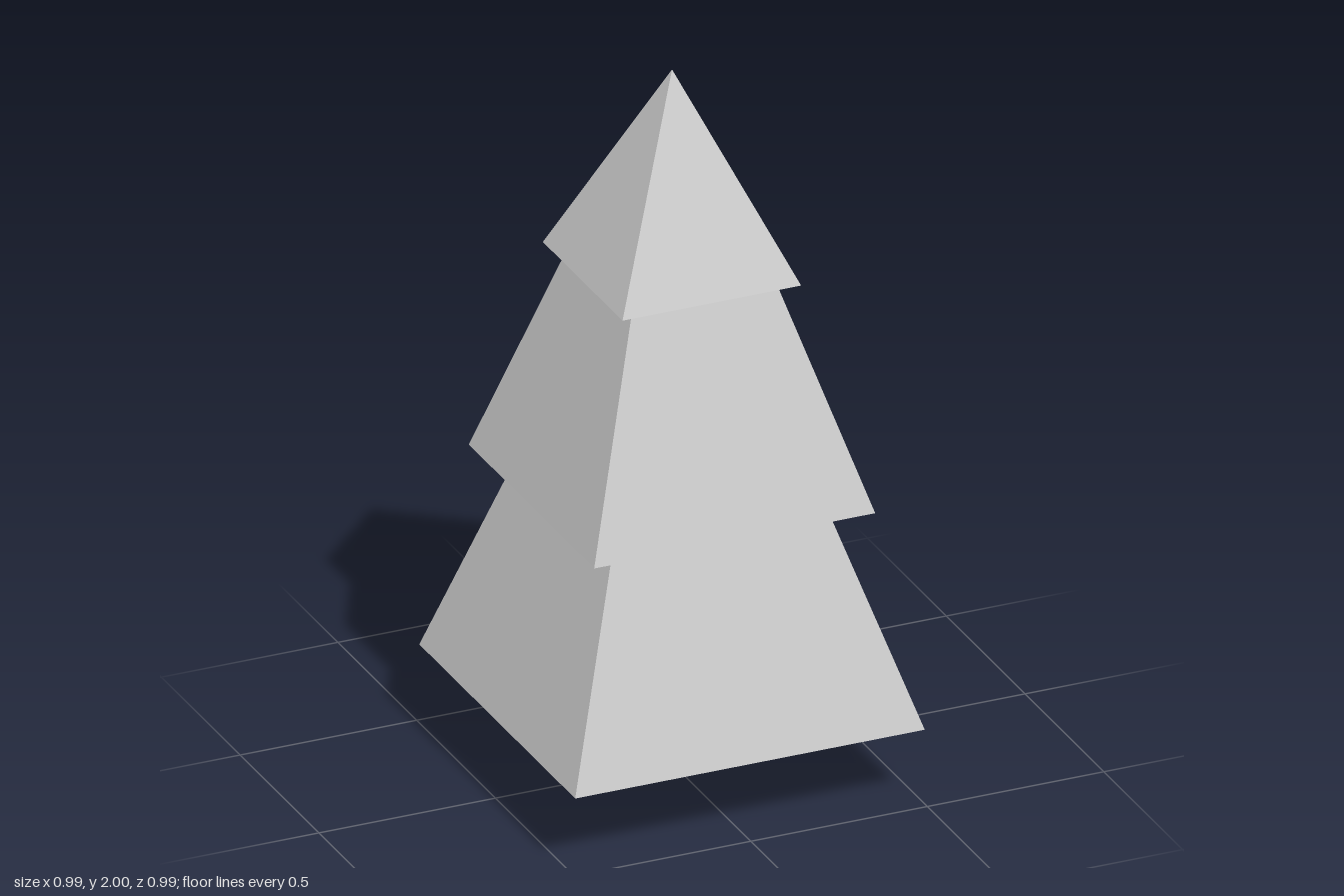
import * as THREE from 'three';

const material = new THREE.MeshStandardMaterial({ color: 0xcccccc, flatShading: true });

// Four-sided solid from a profile of [half width, height], running from the underside to the top
function squareSolid(name, profile) {
  const points = profile.map(([half, y]) => new THREE.Vector2(half * Math.SQRT2, y));
  const mesh = new THREE.Mesh(new THREE.LatheGeometry(points, 4, Math.PI / 4), material);
  mesh.name = name;
  return mesh;
}

export function createModel() {
  const tree = new THREE.Group();
  tree.name = 'pineTree';

  // Square trunk
  const trunk = new THREE.Mesh(new THREE.BoxGeometry(0.15, 0.24, 0.15), material);
  trunk.position.y = 0.12;
  trunk.name = 'trunk';
  tree.add(trunk);

  // Lower and middle foliage, each tapering into the tier above
  tree.add(squareSolid('lowerFoliage', [[0, 0.22], [0.495, 0.22], [0.292, 0.845], [0, 0.845]]));
  tree.add(squareSolid('middleFoliage', [[0, 0.82], [0.398, 0.82], [0.19, 1.48], [0, 1.48]]));

  // Pointed top with a shallow recess under its rim
  tree.add(squareSolid('topFoliage', [[0, 1.47], [0.228, 1.47], [0.228, 1.44], [0.253, 1.44], [0, 2]]));

  return tree;
}
